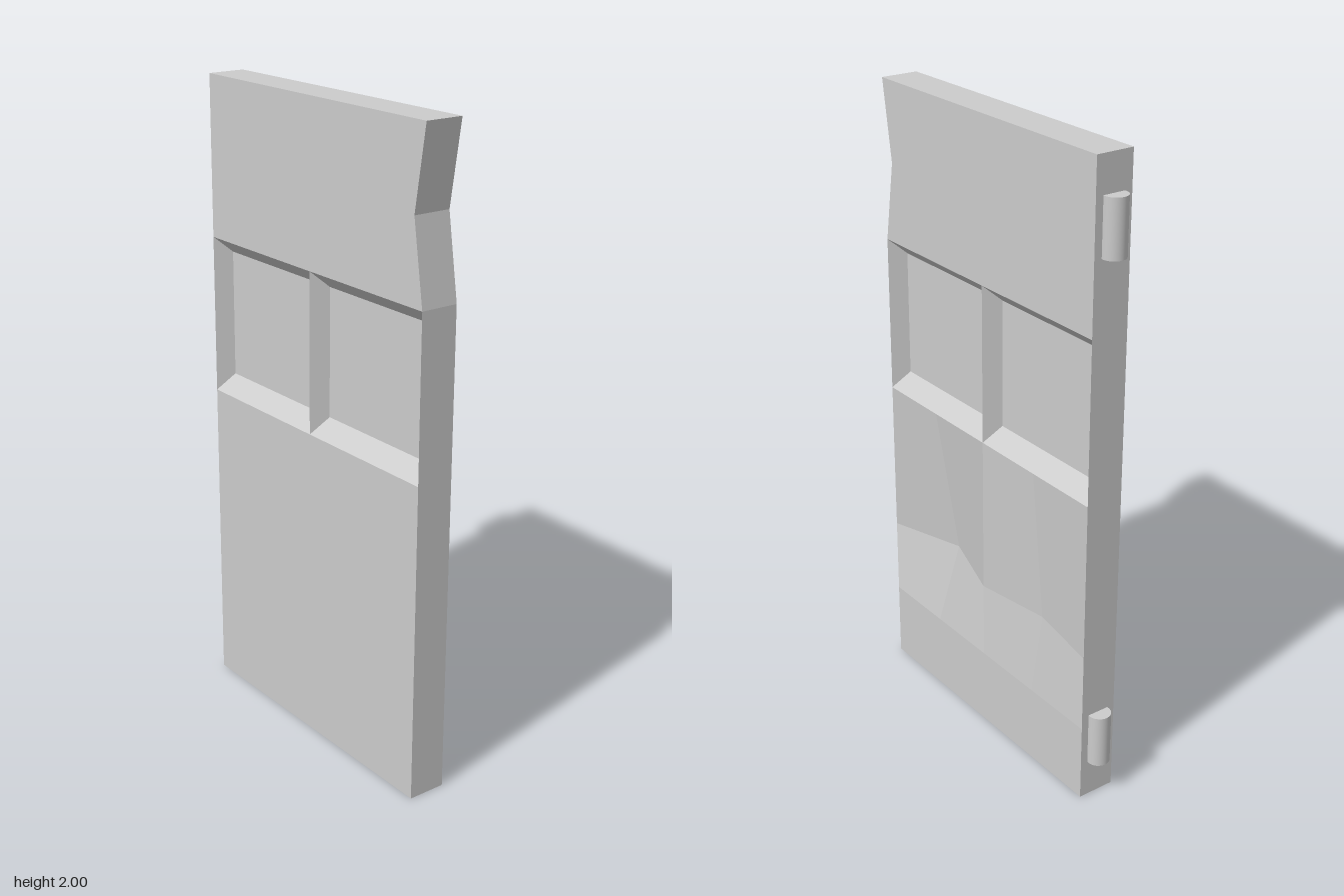
import * as THREE from 'three';

const T = 0.06, FRONT = 0.52, BACK = -0.48;

// Mesh from four-cornered facets, one flat normal per facet
function facetMesh(name, quads) {
  const pos = [], nor = [];
  for (const q of quads) {
    const [a, b, c, d] = q.map(p => new THREE.Vector3(...p));
    const n = c.clone().sub(a).cross(d.clone().sub(b)).normalize();
    for (const p of [a, b, c, a, c, d]) {
      pos.push(p.x, p.y, p.z);
      nor.push(n.x, n.y, n.z);
    }
  }
  const g = new THREE.BufferGeometry();
  g.setAttribute('position', new THREE.Float32BufferAttribute(pos, 3));
  g.setAttribute('normal', new THREE.Float32BufferAttribute(nor, 3));
  const mesh = new THREE.Mesh(g, new THREE.MeshStandardMaterial({ color: 0xcccccc }));
  mesh.name = name;
  return mesh;
}

// Facet on the left (s = 1) or right (s = -1) side; corners are [depth, y, z]
function side(s, corners) {
  const q = corners.map(([x, y, z]) => [s * x, y, z]);
  return s > 0 ? q : q.reverse();
}

// Rectangle corners seen from the left side
const rect = (x, zA, zB, yA, yB) => [[x, yA, zA], [x, yA, zB], [x, yB, zB], [x, yB, zA]];

export function createModel() {
  const model = new THREE.Group();

  // Lower panel: dented on the left side, plain on the right
  const zs = [FRONT, 0.27, 0.02, -0.23, BACK], ys = [0, 0.25, 0.5, 1];
  const dents = [0, 0.08, 0, 0.04, 0];
  const point = (i, j) => [T - (j === 2 ? dents[i] : 0), ys[j], zs[i]];
  const lower = [side(-1, rect(T, FRONT, BACK, 0, 1))];
  for (let i = 0; i < 4; i++) {
    for (let j = 0; j < 3; j++) {
      lower.push([point(i, j), point(i + 1, j), point(i + 1, j + 1), point(i, j + 1)]);
    }
  }
  model.add(facetMesh('lowerPanel', lower));

  // Two windows with bevelled frames and recessed panes on both sides
  const frame = [], panes = [];
  for (const s of [1, -1]) {
    for (const [zA, zB] of [[FRONT, 0.02], [0.02, BACK]]) {
      const outer = rect(T, zA, zB, 1, 1.5);
      const inner = rect(0.005, zA - 0.025, zB + 0.025, 1.05, 1.45);
      for (let k = 0; k < 4; k++) {
        const n = (k + 1) % 4;
        frame.push(side(s, [outer[k], outer[n], inner[n], inner[k]]));
      }
      panes.push(side(s, inner));
    }
  }
  model.add(facetMesh('windowFrame', frame), facetMesh('windowPanes', panes));

  // Upper panel and edge strip follow the notched front outline
  const outline = [[0, FRONT], [1, FRONT], [1.5, FRONT], [1.75, 0.48], [2, FRONT]];
  const upper = [], edge = [];
  for (let i = 0; i < outline.length - 1; i++) {
    const [y0, z0] = outline[i], [y1, z1] = outline[i + 1];
    edge.push([[-T, y0, z0], [T, y0, z0], [T, y1, z1], [-T, y1, z1]]);
    if (y0 < 1.5) continue;
    for (const s of [1, -1]) {
      upper.push(side(s, [[T, y0, z0], [T, y0, BACK], [T, y1, BACK], [T, y1, z1]]));
    }
  }
  edge.push(
    [[T, 0, BACK], [-T, 0, BACK], [-T, 2, BACK], [T, 2, BACK]],
    [[-T, 2, FRONT], [T, 2, FRONT], [T, 2, BACK], [-T, 2, BACK]],
    [[-T, 0, BACK], [T, 0, BACK], [T, 0, FRONT], [-T, 0, FRONT]]
  );
  model.add(facetMesh('upperPanel', upper), facetMesh('doorEdge', edge));

  // Round hinges half sunk into the back edge
  for (const [name, y] of [['lowerHinge', 0.205], ['upperHinge', 1.805]]) {
    const hinge = new THREE.Mesh(
      new THREE.CylinderGeometry(0.036, 0.036, 0.17, 32),
      new THREE.MeshStandardMaterial({ color: 0xcccccc })
    );
    hinge.name = name;
    hinge.position.set(0, y, -0.486);
    model.add(hinge);
  }
  return model;
}
